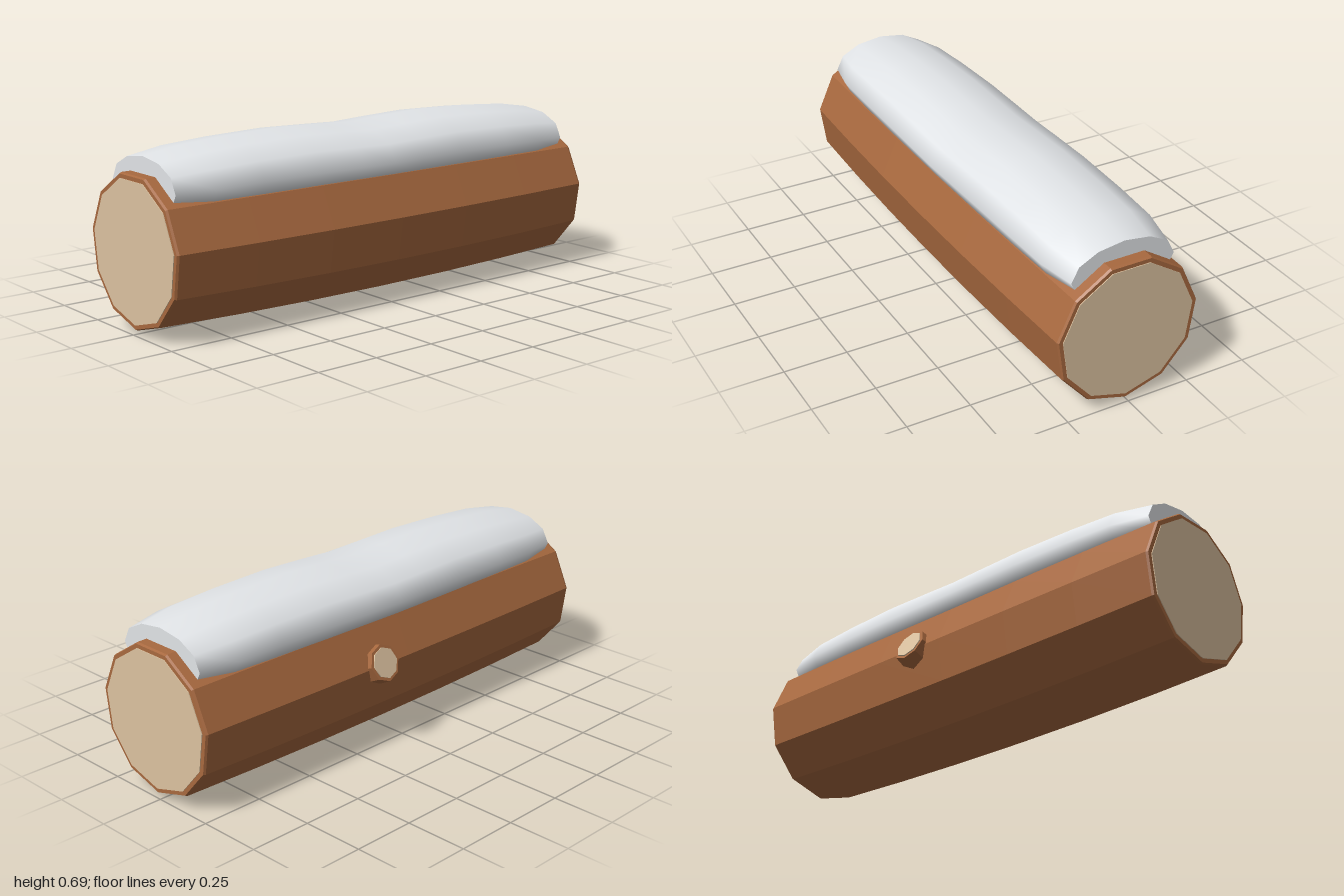
import * as THREE from 'three';

const bark = new THREE.MeshStandardMaterial({ color: 0xa8693f });
bark.name = 'bark';
const wood = new THREE.MeshStandardMaterial({ color: 0xdcc2a0 });
wood.name = 'cut wood';
const snowWhite = new THREE.MeshStandardMaterial({ color: 0xe2e5e8 });
snowWhite.name = 'snow white';

// Skin through rings of [y, z] points placed at each x, with capped ends
function loft(xs, section, flat) {
  const rings = xs.map((x) => section(x).map(([y, z]) => [x, y, z]));
  const n = rings[0].length;
  const pos = rings.flat(2);
  const index = [];
  for (let i = 0; i < xs.length - 1; i++) {
    for (let j = 0; j < n; j++) {
      const k = (j + 1) % n;
      const a = i * n + j, b = i * n + k;
      index.push(a, a + n, b, b, a + n, b + n);
    }
  }
  // End caps have their own vertices so their edges stay sharp
  for (const end of [0, rings.length - 1]) {
    const base = pos.length / 3;
    pos.push(...rings[end].flat());
    for (let j = 1; j < n - 1; j++) {
      if (end === 0) index.push(base, base + j, base + j + 1);
      else index.push(base, base + j + 1, base + j);
    }
  }
  let geo = new THREE.BufferGeometry();
  geo.setAttribute('position', new THREE.Float32BufferAttribute(pos, 3));
  geo.setIndex(index);
  if (flat) geo = geo.toNonIndexed();
  geo.computeVertexNormals();
  return geo;
}

// Eleven-sided ring with one corner pointing down
function logRing(r, cy, cz) {
  return Array.from({ length: 11 }, (_, j) => {
    const a = (j / 11) * Math.PI * 2;
    return [cy - r * Math.cos(a), cz + r * Math.sin(a)];
  });
}

// Linear lookup in a list of [x, value]
function lookup(table, x) {
  let i = 0;
  while (i < table.length - 2 && x > table[i + 1][0]) i++;
  const [x0, v0] = table[i], [x1, v1] = table[i + 1];
  return THREE.MathUtils.lerp(v0, v1, (x - x0) / (x1 - x0));
}

function add(parent, name, geo, mat) {
  const mesh = new THREE.Mesh(geo, mat);
  mesh.name = name;
  parent.add(mesh);
  return mesh;
}

export function createModel() {
  const model = new THREE.Group();
  model.name = 'snowyLog';

  // Trunk, slightly swollen and bowed in the middle
  const trunkXs = [-0.997, -0.988, -0.66, -0.33, 0, 0.33, 0.66, 0.988, 0.997];
  add(model, 'trunk', loft(trunkXs, (x) => {
    const m = 1 - x * x;
    const r = Math.abs(x) > 0.99 ? 0.283 : 0.287 + 0.013 * m;
    return logRing(r, 0.305 - 0.005 * m, 0.013 + 0.005 * m);
  }, true), bark);

  // Sawn faces at both ends
  for (const [name, a, b] of [['leftCut', 0.994, 1], ['rightCut', -1, -0.994]]) {
    add(model, name, loft([a, b], () => logRing(0.267, 0.305, 0.014), true), wood);
  }

  // Snow blanket: half profile of [width, height] mirrored over the top
  const half = [[0.89, -0.05], [1, 0.25], [0.86, 0.64], [0.5, 0.9]];
  const profile = [...half, [0, 1], ...half.map(([u, v]) => [-u, v]).reverse()];
  const tops = [[-0.95, 0.645], [-0.8, 0.667], [-0.6, 0.68], [-0.35, 0.687], [-0.15, 0.68], [0, 0.674],
    [0.15, 0.682], [0.35, 0.69], [0.6, 0.683], [0.8, 0.669], [0.95, 0.645]];
  const widths = [[-0.95, 0.207], [-0.8, 0.238], [-0.5, 0.248], [0, 0.253], [0.5, 0.248], [0.8, 0.238], [0.95, 0.207]];
  add(model, 'snow', loft(tops.map((t) => t[0]), (x) => {
    const w = lookup(widths, x), h = lookup(tops, x) - 0.5;
    return profile.map(([u, v]) => [0.5 + v * h, 0.015 + u * w]);
  }, false), snowWhite);

  // Branch stub on the back, pointing outward and a little up
  const stub = new THREE.Group();
  stub.name = 'branchStub';
  stub.position.set(0.145, 0.358, -0.293);
  stub.quaternion.setFromUnitVectors(new THREE.Vector3(0, 1, 0), new THREE.Vector3(0, 0.38, -0.925).normalize());
  model.add(stub);
  const bodyGeo = new THREE.CylinderGeometry(0.072, 0.08, 0.09, 8).toNonIndexed();
  bodyGeo.computeVertexNormals();
  add(stub, 'stubBark', bodyGeo, bark).position.y = -0.045;
  add(stub, 'stubCut', new THREE.CylinderGeometry(0.06, 0.06, 0.006, 8), wood).position.y = 0.001;

  return model;
}
